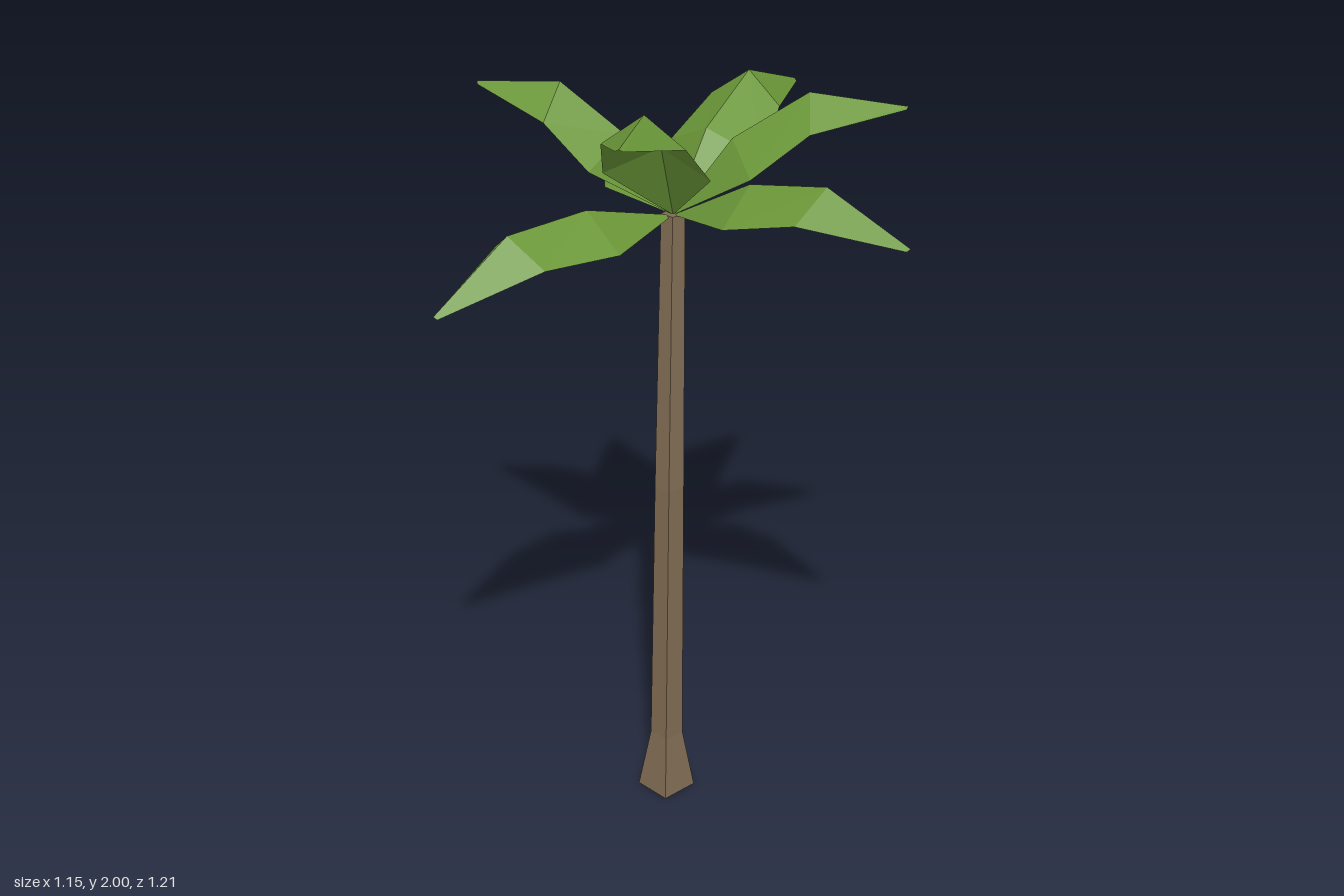
import * as THREE from 'three';

const bark = new THREE.MeshStandardMaterial({ color: 0x7f6b52, flatShading: true });
const green = new THREE.MeshStandardMaterial({ color: 0x6a9638, flatShading: true, side: THREE.DoubleSide });

// Flat-shaded mesh from a list of quads and triangles (arrays of Vector3)
function meshFromFaces(faces, material, name) {
  const pts = [];
  for (const f of faces) {
    for (let i = 1; i < f.length - 1; i++) pts.push(f[0], f[i], f[i + 1]);
  }
  const geometry = new THREE.BufferGeometry().setFromPoints(pts);
  geometry.computeVertexNormals();
  const mesh = new THREE.Mesh(geometry, material);
  mesh.name = name;
  return mesh;
}

// Leaning four-sided trunk with a flared foot; rings are [x, y, z, radius]
function makeTrunk() {
  const rings = [
    [-0.028, 0, 0.205, 0.076],
    [-0.027, 0.17, 0.203, 0.043],
    [-0.02, 0.9, 0.15, 0.038],
    [-0.013, 1.63, 0.042, 0.031],
  ].map(([x, y, z, r]) => [0, 1, 2, 3].map((k) => {
    const a = (k * Math.PI) / 2;
    return new THREE.Vector3(x + r * Math.cos(a), y, z + r * Math.sin(a));
  }));
  const faces = [rings[0], [...rings[3]].reverse()];
  for (let i = 0; i < 3; i++) {
    for (let k = 0; k < 4; k++) {
      const n = (k + 1) % 4;
      faces.push([rings[i][n], rings[i][k], rings[i + 1][k], rings[i + 1][n]]);
    }
  }
  return meshFromFaces(faces, bark, 'trunk');
}

// Folded frond: rises straight at the given pitch, then bends over to its tip
const crown = new THREE.Vector3(-0.013, 1.625, 0.04);

function makeFrond([x, y, z, pitchDeg], index) {
  const dx = x - crown.x, dz = z - crown.z;
  const reach = Math.hypot(dx, dz), rise = y - crown.y;
  const length = Math.hypot(reach, rise);
  const pitch = THREE.MathUtils.degToRad(pitchDeg);
  // u runs outward, v up, w sideways
  const at = (u, v, w) => new THREE.Vector3(
    crown.x + (dx * u + dz * w) / reach, crown.y + v, crown.z + (dz * u - dx * w) / reach);

  const u1 = 0.37 * length * Math.cos(pitch), v1 = 0.37 * length * Math.sin(pitch);
  const u2 = 0.645 * length * Math.cos(pitch), v2 = 0.645 * length * Math.sin(pitch);
  const tilt = Math.atan2(rise - v2, reach - u2) - 0.17;
  const fold = 0.078;
  const base = at(0, 0, 0);
  const ridge1 = at(u1 - fold * Math.sin(pitch), v1 + fold * Math.cos(pitch), 0);
  const ridge2 = at(u2 - fold * Math.sin(tilt), v2 + fold * Math.cos(tilt), 0);
  const tip = at(reach, rise, 0);

  const faces = [];
  for (const side of [1, -1]) {
    const edge1 = at(u1, v1, side * 0.136);
    const edge2 = at(u2, v2, side * 0.105);
    const edgeTip = at(reach - 0.005, rise - 0.006, side * 0.01);
    const half = [
      [base, ridge1, edge1],
      [ridge1, ridge2, edge2, edge1],
      [ridge2, tip, edgeTip, edge2],
    ];
    for (const f of half) faces.push(side > 0 ? f : f.reverse());
  }
  return meshFromFaces(faces, green, `frond${index + 1}`);
}

export function createModel() {
  const model = new THREE.Group();
  model.name = 'palmTree';
  model.add(makeTrunk());

  // Frond tips and the pitch of each stem in degrees
  const fronds = new THREE.Group();
  fronds.name = 'fronds';
  [
    [-0.16, 1.61, -0.605, -1],
    [0.3, 1.83, -0.46, 32],
    [0.575, 1.92, 0.04, 36.5],
    [0.565, 1.71, 0.47, 13.5],
    [-0.12, 2.0, 0.605, 42],
    [-0.575, 1.54, 0.515, 0],
    [-0.52, 1.925, -0.12, 38.5],
  ].forEach((f, i) => fronds.add(makeFrond(f, i)));
  model.add(fronds);
  return model;
}
